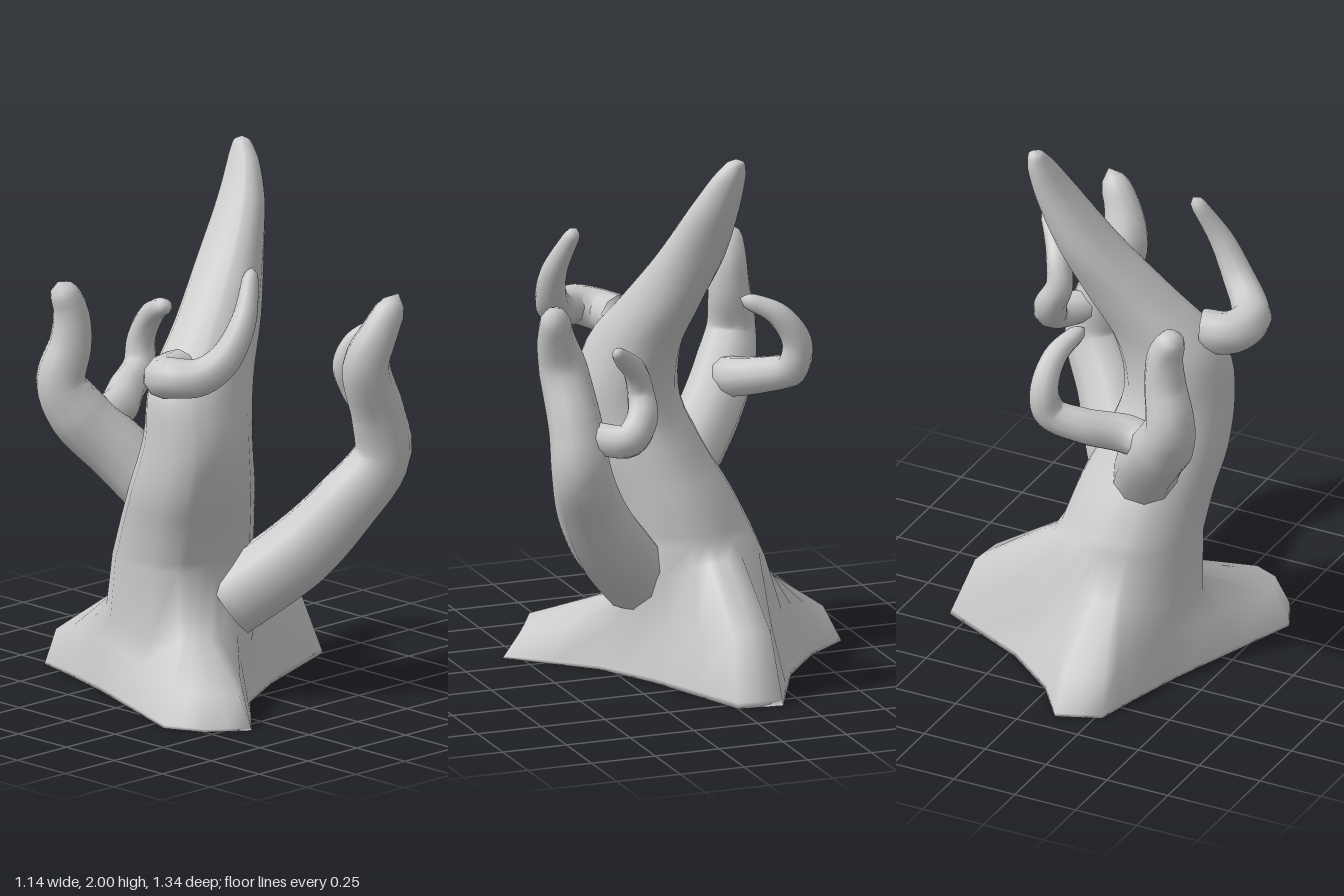
import * as THREE from 'three';
import { mergeVertices } from 'three/addons/utils/BufferGeometryUtils.js';

const material = new THREE.MeshStandardMaterial({ color: 0xcccccc, side: THREE.DoubleSide });

// Skin over closed rings of points, listed bottom to top.
function loft(rings) {
  const n = rings[0].length;
  const index = [];
  for (let i = 0; i < rings.length - 1; i++) {
    for (let j = 0; j < n; j++) {
      const k = (j + 1) % n;
      const a = i * n + j, b = i * n + k, c = a + n, d = b + n;
      index.push(a, c, b, b, c, d);
    }
  }
  const geometry = new THREE.BufferGeometry().setFromPoints(rings.flat());
  geometry.setIndex(index);
  geometry.computeVertexNormals();
  return geometry;
}

// Tapering tube through [x, y, z, radius] points with a rounded tip.
function limb(points, sides = 10) {
  const curve = new THREE.CatmullRomCurve3(points.map(p => new THREE.Vector3(p[0], p[1], p[2])), false, 'centripetal');
  const segments = points.length * 5;
  const tube = new THREE.TubeGeometry(curve, segments, 1, sides, false);
  const pos = tube.attributes.position;
  const v = new THREE.Vector3();
  for (let i = 0; i <= segments; i++) {
    const u = i / segments;
    const center = curve.getPointAt(u);
    const t = curve.getUtoTmapping(u) * (points.length - 1);
    const k = Math.min(Math.floor(t), points.length - 2);
    let r = THREE.MathUtils.lerp(points[k][3], points[k + 1][3], t - k);
    r *= Math.sqrt(Math.min(1, (1 - u) / 0.04));
    for (let j = 0; j <= sides; j++) {
      const id = i * (sides + 1) + j;
      v.fromBufferAttribute(pos, id).sub(center).multiplyScalar(r).add(center);
      pos.setXYZ(id, v.x, v.y, v.z);
    }
  }
  tube.deleteAttribute('uv');
  tube.deleteAttribute('normal');
  const geometry = mergeVertices(tube, 1e-5);
  geometry.computeVertexNormals();
  return geometry;
}

// Three root lobes: ground point x, z, then shoulder point x, y, z.
const rootOutline = [
  [-0.275, -0.605, -0.26, 0.14, -0.56], [-0.115, -0.67, -0.12, 0.14, -0.6],
  [0.01, -0.505, -0.02, 0.18, -0.44], [0.22, -0.34, 0.13, 0.2, -0.3],
  [0.575, -0.17, 0.475, 0.25, -0.16], [0.557, 0, 0.46, 0.25, -0.02],
  [0.13, 0.165, 0.13, 0.2, 0.12], [-0.1, 0.29, -0.1, 0.16, 0.24],
  [-0.36, 0.565, -0.35, 0.11, 0.49], [-0.5, 0.465, -0.46, 0.13, 0.42],
  [-0.57, 0.32, -0.5, 0.13, 0.3], [-0.38, -0.21, -0.36, 0.19, -0.19],
  [-0.315, -0.44, -0.29, 0.17, -0.4],
];

// Leaning trunk above the roots: oval sections as [y, x, z, radiusX, radiusZ].
const trunkSections = [
  [0.5, -0.115, -0.045, 0.262, 0.255], [0.65, -0.145, 0.01, 0.25, 0.24], [0.8, -0.185, 0.075, 0.235, 0.225],
  [1.0, -0.215, 0.135, 0.205, 0.195], [1.2, -0.185, 0.12, 0.215, 0.165],
  [1.4, -0.045, 0.065, 0.175, 0.14], [1.6, 0.085, 0, 0.12, 0.125],
  [1.8, 0.19, -0.05, 0.078, 0.095], [1.93, 0.238, -0.09, 0.048, 0.063],
  [1.985, 0.25, -0.11, 0.028, 0.033], [2.0, 0.252, -0.112, 0.001, 0.001],
];

// Roots and trunk in one skin: underside, lobes, collar, then the trunk.
function trunkGeometry() {
  // Each outline edge is halved so the trunk has enough sides.
  const outline = rootOutline.flatMap((p, i) => {
    const q = rootOutline[(i + 1) % rootOutline.length];
    return [p, p.map((value, k) => (value + q[k]) / 2)];
  });
  const ground = outline.map(p => new THREE.Vector3(p[0], 0, p[1]));
  const shoulder = outline.map(p => new THREE.Vector3(p[2], p[3], p[4]));
  const rim = ground.map((p, i) => p.clone().lerp(shoulder[i], 0.08));
  const middle = ground.map(() => new THREE.Vector3(-0.1, 0, -0.06));
  const angles = shoulder.map(p => Math.atan2(p.z + 0.06, p.x + 0.1));
  const collar = angles.map(a => {
    const y = 0.24 + 0.2 * Math.max(0, Math.cos(a)) + 0.08 * Math.max(0, -Math.sin(a));
    return new THREE.Vector3(-0.1 + 0.275 * Math.cos(a), y, -0.06 + 0.285 * Math.sin(a));
  });
  const rings = [middle, ground, rim, shoulder, collar];
  const path = new THREE.CatmullRomCurve3(trunkSections.map(s => new THREE.Vector3(s[1], s[0], s[2])));
  const size = new THREE.CatmullRomCurve3(trunkSections.map(s => new THREE.Vector3(s[3], 0, s[4])));
  for (let i = 0; i <= 40; i++) {
    const c = path.getPoint(i / 40), r = size.getPoint(i / 40);
    rings.push(angles.map(a => new THREE.Vector3(
      c.x + r.x * Math.cos(a), Math.min(c.y, 2), c.z + r.z * Math.sin(a))));
  }
  return loft(rings);
}

// Side limbs and the curling twigs on them.
const limbs = {
  frontBranch: [
    [-0.08, 0.35, 0.15, 0.14], [0.11, 0.54, 0.33, 0.14], [0.23, 0.72, 0.45, 0.125],
    [0.34, 0.9, 0.53, 0.11], [0.31, 1.06, 0.54, 0.1], [0.23, 1.27, 0.56, 0.09],
    [0.26, 1.4, 0.6, 0.07], [0.33, 1.535, 0.625, 0.047],
  ],
  frontTwig: [
    [0.34, 1.03, 0.49, 0.06], [0.43, 1.03, 0.38, 0.065], [0.41, 1.1, 0.32, 0.06],
    [0.37, 1.19, 0.31, 0.05], [0.39, 1.28, 0.34, 0.045], [0.45, 1.35, 0.41, 0.035], [0.51, 1.4, 0.46, 0.02],
  ],
  backBranch: [
    [-0.18, 0.72, -0.08, 0.12], [-0.27, 0.88, -0.21, 0.12], [-0.38, 1.03, -0.32, 0.115],
    [-0.43, 1.15, -0.36, 0.095], [-0.4, 1.3, -0.34, 0.08], [-0.4, 1.42, -0.34, 0.068], [-0.45, 1.535, -0.355, 0.047],
  ],
  backTwig: [
    [-0.34, 1.0, -0.3, 0.07], [-0.22, 1.02, -0.29, 0.075], [-0.08, 1.06, -0.37, 0.068],
    [0.03, 1.11, -0.42, 0.062], [0.05, 1.21, -0.43, 0.055], [0.04, 1.32, -0.36, 0.045], [-0.01, 1.385, -0.23, 0.028],
  ],
  upperTwig: [
    [-0.31, 1.27, 0.13, 0.08], [-0.41, 1.27, 0.16, 0.08], [-0.45, 1.29, 0.24, 0.075],
    [-0.4, 1.3, 0.33, 0.07], [-0.33, 1.36, 0.385, 0.062], [-0.25, 1.49, 0.405, 0.048], [-0.155, 1.675, 0.355, 0.026],
  ],
};

export function createModel() {
  const model = new THREE.Group();
  const add = (name, geometry) => {
    const mesh = new THREE.Mesh(geometry, material);
    mesh.name = name;
    model.add(mesh);
  };
  add('trunkAndRoots', trunkGeometry());
  for (const [name, points] of Object.entries(limbs)) add(name, limb(points));
  return model;
}
